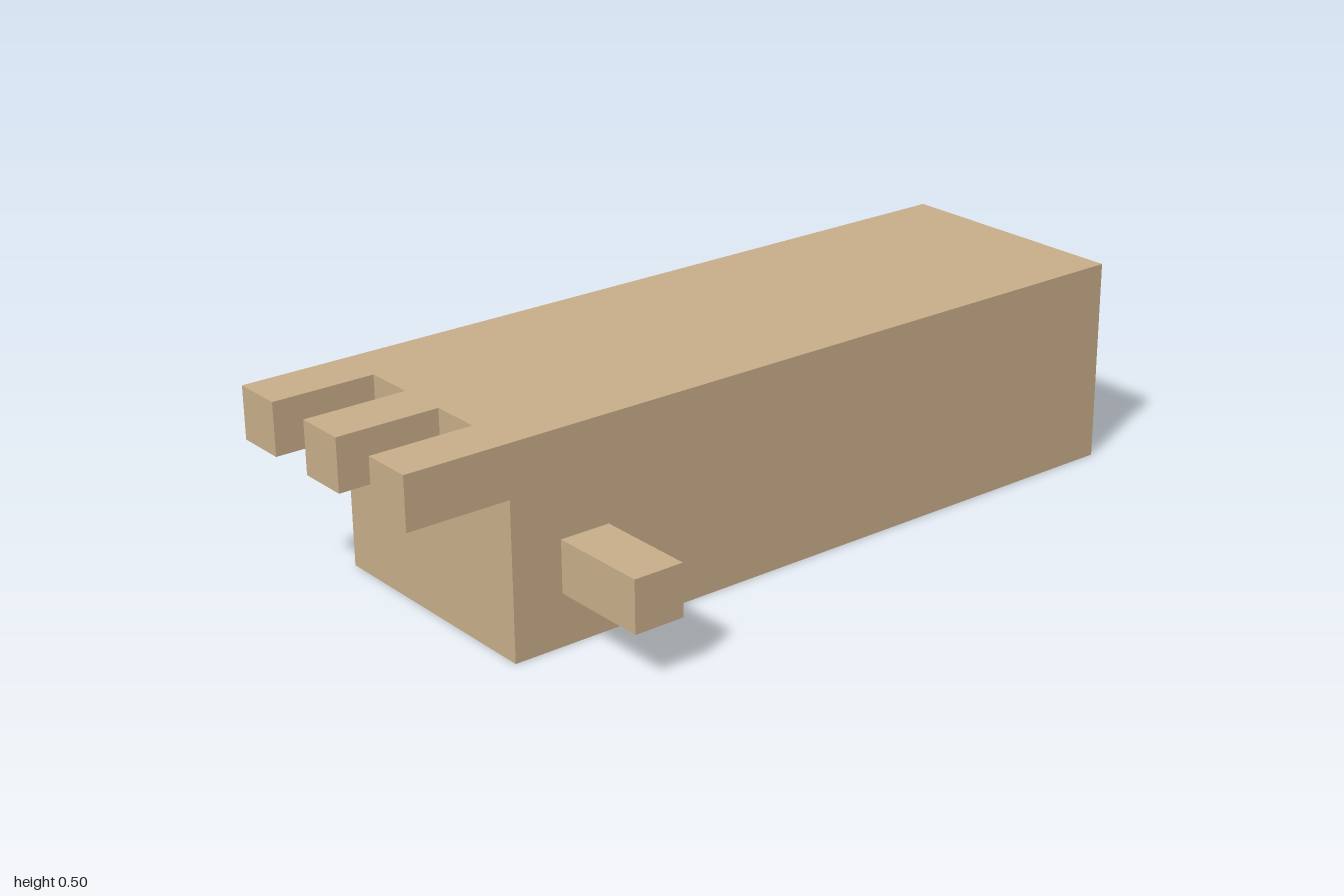
import * as THREE from 'three';

export function createModel() {
  const group = new THREE.Group();
  const skin = new THREE.MeshStandardMaterial({ color: 0xc8ae8a });
  skin.name = 'tan skin';

  // Adds a box spanning two opposite corners
  function block(name, [x0, y0, z0], [x1, y1, z1]) {
    const mesh = new THREE.Mesh(new THREE.BoxGeometry(x1 - x0, y1 - y0, z1 - z0), skin);
    mesh.position.set((x0 + x1) / 2, (y0 + y1) / 2, (z0 + z1) / 2);
    mesh.name = name;
    group.add(mesh);
  }

  // Long arm block
  block('arm', [-0.4375, 0, -1], [0.1875, 0.5, 0.75]);

  // Three fingers along the top front edge
  for (let i = 0; i < 3; i++) {
    const x = -0.4375 + i * 0.25;
    block(`finger${i + 1}`, [x, 0.375, 0.75], [x + 0.125, 0.5, 1]);
  }

  // Thumb sticking out of the left side
  block('thumb', [0.1875, 0.125, 0.5], [0.4375, 0.25, 0.625]);

  return group;
}
